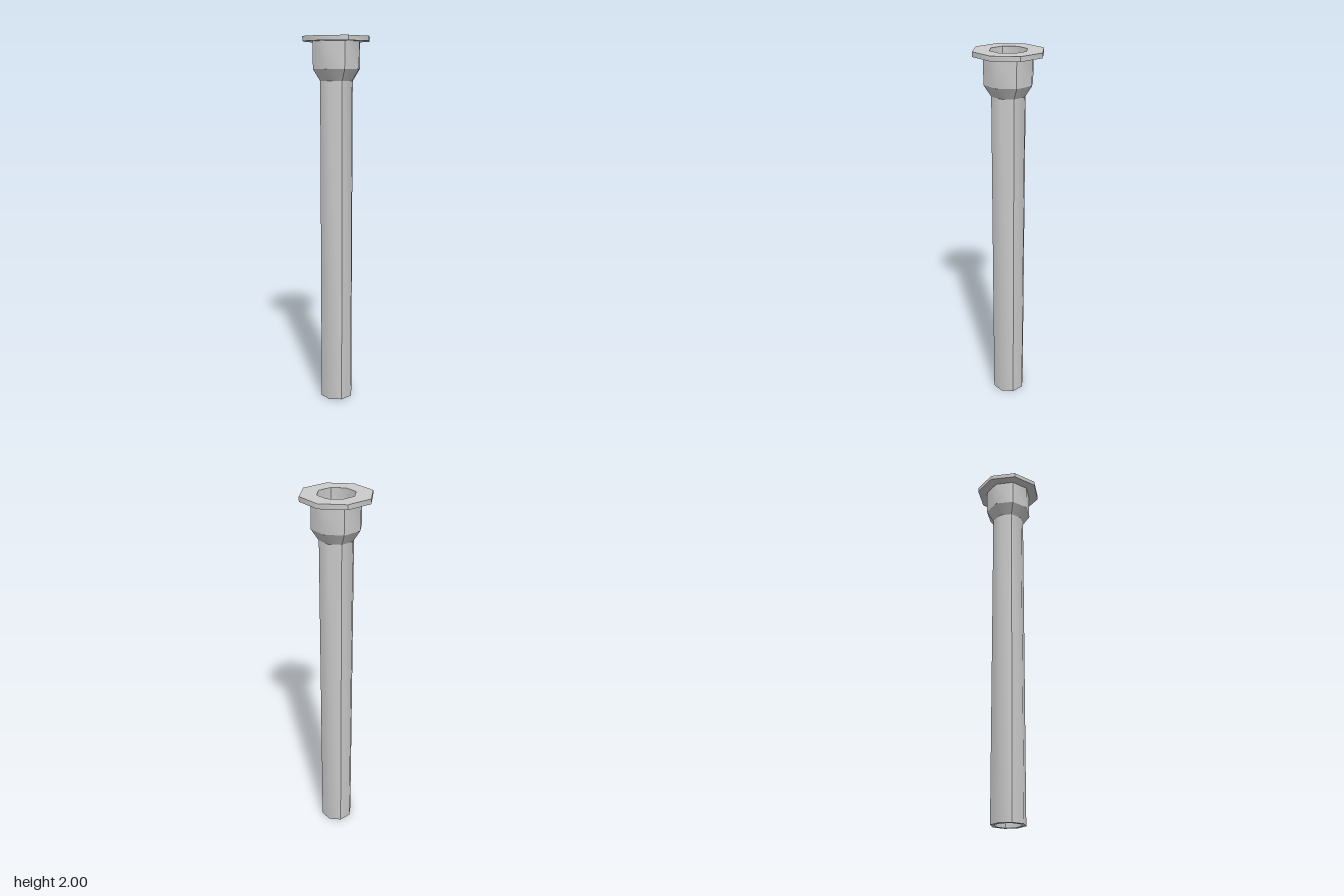
import * as THREE from 'three';
import { mergeGeometries } from 'three/addons/utils/BufferGeometryUtils.js';

// Octagonal surface of revolution: each band is split into four sides,
// smooth across the middle of a side and sharp at the diagonals.
function octagonal(profile) {
  const pieces = [];
  for (let i = 0; i < profile.length - 1; i++) {
    const band = [profile[i], profile[i + 1]].map(([r, y]) => new THREE.Vector2(r, y));
    for (let side = 0; side < 4; side++) {
      const start = side * Math.PI / 2 - Math.PI / 4;
      const piece = new THREE.LatheGeometry(band, 2, start, Math.PI / 2);
      piece.computeVertexNormals();
      pieces.push(piece);
    }
  }
  return mergeGeometries(pieces);
}

export function createModel() {
  const group = new THREE.Group();
  const material = new THREE.MeshStandardMaterial({ color: 0xcccccc });

  const add = (name, profile) => {
    const mesh = new THREE.Mesh(octagonal(profile), material);
    mesh.name = name;
    group.add(mesh);
  };

  // Profiles are [radius, height]; walls facing out run upward, bores run downward.
  // Flat collar at the top
  add('flange', [[0.13, 1.975], [0.185, 1.975], [0.185, 2], [0.098, 2]]);

  // Wider neck that tapers into the pipe
  add('neck', [[0.091, 1.775], [0.13, 1.835], [0.13, 1.975]]);

  // Long straight pipe with an open bottom rim
  add('pipe', [[0.071, 0], [0.091, 0], [0.091, 1.775]]);

  // Hollow inside, following the neck and pipe
  add('bore', [[0.098, 2], [0.098, 1.835], [0.071, 1.775], [0.071, 0]]);

  return group;
}
